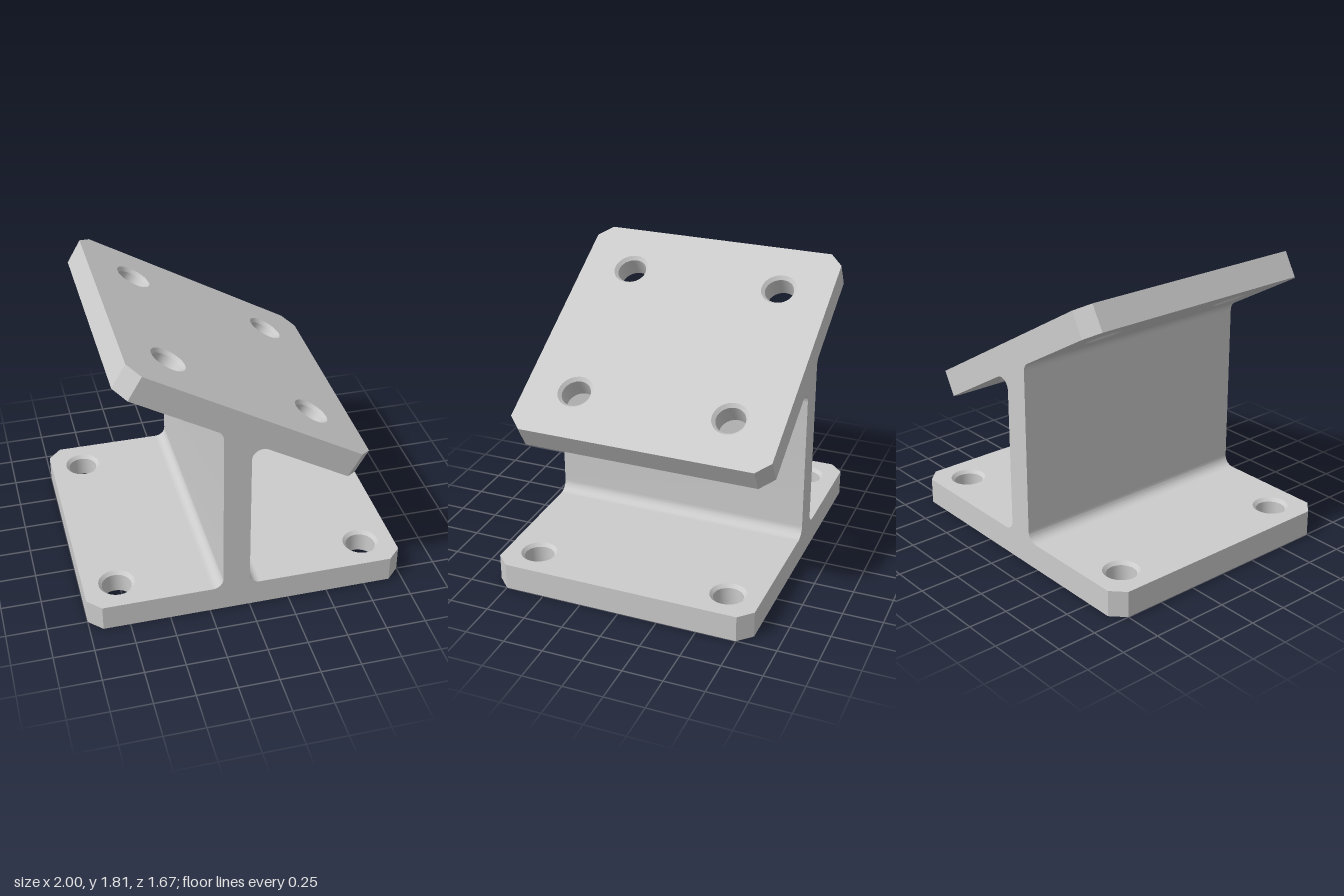
import * as THREE from 'three';
import { toCreasedNormals } from 'three/addons/utils/BufferGeometryUtils.js';

const material = new THREE.MeshStandardMaterial({ color: 0xcccccc });
const T = 1 / 6;          // plate and web thickness
const DEPTH = 5 / 3;      // size along z
const CORNER = 1 / 12;    // plate corner chamfer
const FILLET = 1 / 15;    // web fillet radius
const HOLE = 0.092, RIM = 0.113; // bore and countersink radii
const TILT = Math.PI / 6; // slope of the upper plate
const TOP_X = -0.015, TOP_Y = 1.324; // centre of the upper plate

function makeMesh(name, geometry) {
  const mesh = new THREE.Mesh(toCreasedNormals(geometry, 0.6), material);
  mesh.name = name;
  return mesh;
}

// Flat plate with chamfered corners and four countersunk holes, centred on its origin
function makePlate(name, width, holeX, holeZ) {
  const group = new THREE.Group();
  group.name = name;
  const w = width / 2, d = DEPTH / 2, c = CORNER;
  const shape = new THREE.Shape([
    [w, -d + c], [w, d - c], [w - c, d], [-w + c, d],
    [-w, d - c], [-w, -d + c], [-w + c, -d], [w - c, -d],
  ].map(([x, y]) => new THREE.Vector2(x, y)));

  // Bore lining, facing inwards, with a bevel at each end
  const bevel = RIM - HOLE, h = T / 2;
  const lining = [[RIM, h], [HOLE, h - bevel], [HOLE, bevel - h], [RIM, -h]]
    .map(([x, y]) => new THREE.Vector2(x, y));

  for (const sx of [-1, 1]) for (const sz of [-1, 1]) {
    const hole = new THREE.Path();
    hole.absarc(sx * holeX, sz * holeZ, RIM, 0, Math.PI * 2, true);
    shape.holes.push(hole);
    const bore = makeMesh('boltHole', new THREE.LatheGeometry(lining, 32));
    bore.position.set(sx * holeX, 0, sz * holeZ);
    group.add(bore);
  }
  const body = new THREE.ExtrudeGeometry(shape, { depth: T, bevelEnabled: false, curveSegments: 16 });
  body.translate(0, 0, -T / 2).rotateX(-Math.PI / 2);
  group.add(makeMesh('plateBody', body));
  return group;
}

// Adds an inside fillet at a corner, running from direction u to direction v
function addFillet(shape, corner, u, v) {
  const half = u.angleTo(v) / 2;
  const reach = FILLET / Math.tan(half);
  const centre = u.clone().add(v).setLength(FILLET / Math.sin(half)).add(corner);
  const start = u.clone().multiplyScalar(reach).add(corner).sub(centre);
  const end = v.clone().multiplyScalar(reach).add(corner).sub(centre);
  shape.absarc(centre.x, centre.y, FILLET, start.angle(), end.angle(), true);
}

// Upright web, filleted into the base and the sloping underside
function makeWeb() {
  const V = (x, y) => new THREE.Vector2(x, y);
  const underside = (x) => TOP_Y - T / 2 / Math.cos(TILT) - (x - TOP_X) * Math.tan(TILT);
  const up = V(0, 1), down = V(0, -1), right = V(1, 0), left = V(-1, 0);
  const downhill = V(Math.cos(TILT), -Math.sin(TILT));
  const uphill = downhill.clone().negate();

  const shape = new THREE.Shape();
  addFillet(shape, V(0, T), right, up);
  addFillet(shape, V(0, underside(0)), down, downhill);
  addFillet(shape, V(-T, underside(-T)), uphill, down);
  addFillet(shape, V(-T, T), up, left);
  shape.closePath();
  const geometry = new THREE.ExtrudeGeometry(shape, { depth: DEPTH, bevelEnabled: false, curveSegments: 8 });
  geometry.translate(0, 0, -DEPTH / 2);
  return makeMesh('web', geometry);
}

export function createModel() {
  const model = new THREE.Group();
  model.name = 'angledMountingBracket';

  const base = makePlate('basePlate', 2, 0.79, 0.625);
  base.position.y = T / 2;

  const top = makePlate('slopingPlate', DEPTH, 0.5, 0.5);
  top.position.set(TOP_X, TOP_Y, 0);
  top.rotation.z = -TILT;

  model.add(base, makeWeb(), top);
  return model;
}
